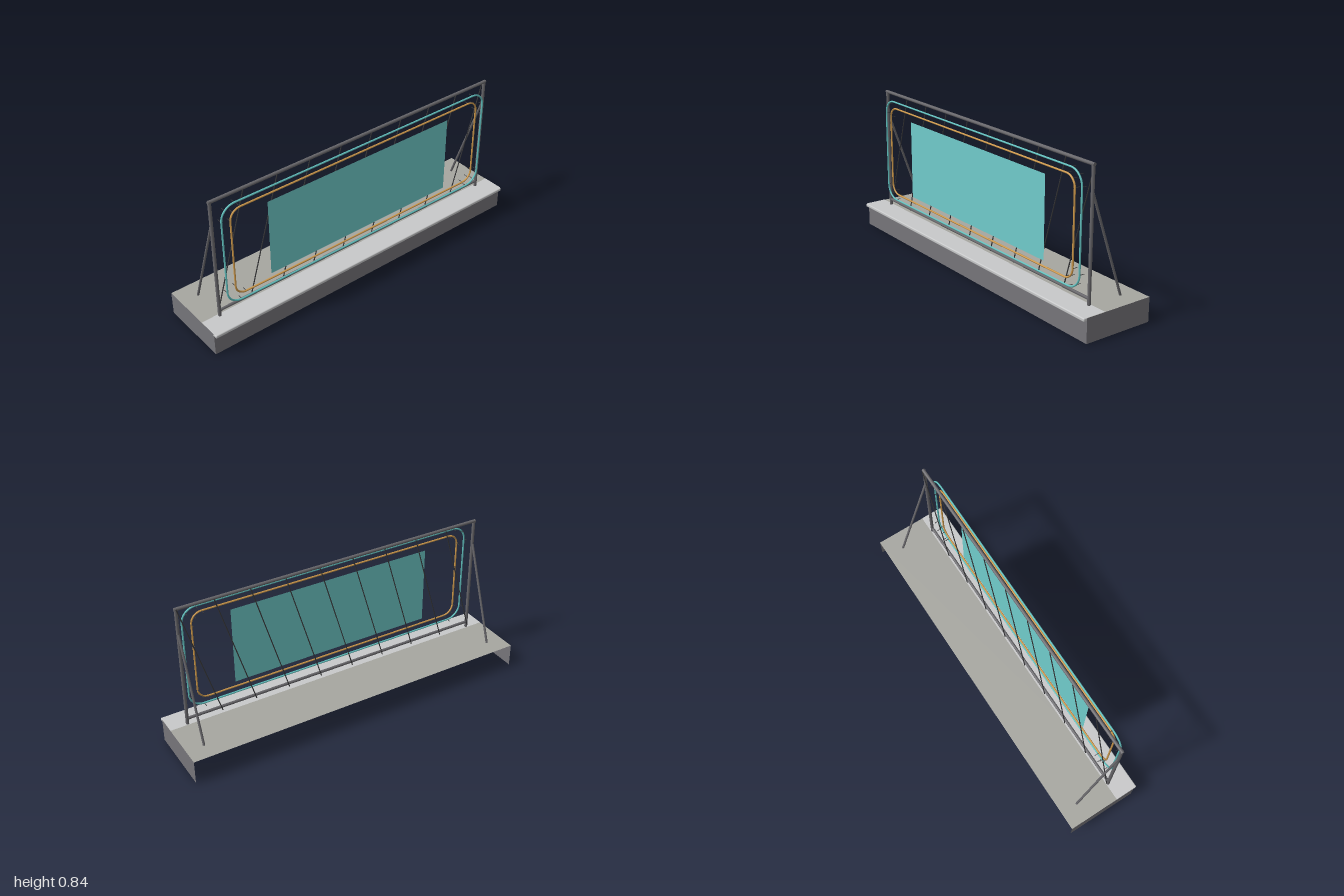
import * as THREE from 'three';
import { RoundedBoxGeometry } from 'three/addons/geometries/RoundedBoxGeometry.js';

const mat = (name, color, side = THREE.FrontSide) => {
  const m = new THREE.MeshStandardMaterial({ color, side });
  m.name = name;
  return m;
};

export function createModel() {
  const group = new THREE.Group();
  group.name = 'rooftopSign';

  const wall = mat('wall grey', 0x76757a, THREE.DoubleSide);
  const concrete = mat('roof grey', 0xa6a6a0, THREE.DoubleSide);
  const coping = mat('coping light grey', 0xc8c9ca, THREE.DoubleSide);
  const steel = mat('frame steel', 0x67666a);
  const rodSteel = mat('dark rod', 0x38383a);
  const teal = mat('teal tube', 0x62c2c0);
  const amber = mat('amber tube', 0xcf9a4c);
  const panelTeal = mat('panel teal', 0x70cccb, THREE.DoubleSide);

  const add = (name, geometry, material, x = 0, y = 0, z = 0) => {
    const mesh = new THREE.Mesh(geometry, material);
    mesh.name = name;
    mesh.position.set(x, y, z);
    group.add(mesh);
    return mesh;
  };

  // Round bar between two points
  const bar = (name, a, b, r, material, sides = 12) => {
    const p = new THREE.Vector3(...a), q = new THREE.Vector3(...b);
    const dir = q.clone().sub(p);
    const mesh = add(name, new THREE.CylinderGeometry(r, r, dir.length(), sides), material);
    mesh.position.copy(p).add(q).multiplyScalar(0.5);
    mesh.quaternion.setFromUnitVectors(new THREE.Vector3(0, 1, 0), dir.normalize());
  };

  // Parapet: open at the back and underneath
  const H = 0.133;
  add('frontWall', new THREE.PlaneGeometry(2, H), wall, 0, H / 2, 0.19);
  for (const s of [-1, 1]) {
    add('endWall', new THREE.PlaneGeometry(0.4, H), wall, s, H / 2, -0.01).rotation.y = s * Math.PI / 2;
  }
  add('roofSlab', new THREE.PlaneGeometry(2, 0.4), concrete, 0, H, -0.01).rotation.x = -Math.PI / 2;
  add('copingTop', new THREE.PlaneGeometry(2, 0.12), coping, 0, H + 0.002, 0.14).rotation.x = -Math.PI / 2;
  add('copingNose', new RoundedBoxGeometry(2, 0.019, 0.036, 3, 0.006), coping, 0, 0.1255, 0.192);

  // Main frame with rear braces
  const FZ = 0.091, R = 0.009;
  for (const s of [-1, 1]) {
    bar('post', [s * 0.9, H, FZ], [s * 0.9, 0.838, FZ], R, steel);
    bar('rearBrace', [s * 0.9, 0.69, 0.086], [s * 0.9, 0.128, -0.113], 0.0065, steel);
  }
  bar('topRail', [-0.909, 0.833, FZ], [0.909, 0.833, FZ], R, steel);
  bar('bottomRail', [-0.9, 0.168, FZ], [0.9, 0.168, FZ], 0.008, steel);

  // Slanted rods behind the frame
  for (let i = 0; i < 9; i++) {
    const x = -0.9 + i * 0.2;
    bar('slantedRod', [x, 0.152, 0.081], [x + 0.2, 0.833, 0.081], 0.003, rodSteel, 8);
  }

  // Rounded-rectangle light tubes, each held by pins at its corners
  const TZ = 0.124, CY = 0.501;
  const lightTube = (name, w, h, r, material) => {
    const path = new THREE.CurvePath();
    const corners = [[1, 1, 0], [-1, 1, 1], [-1, -1, 2], [1, -1, 3]];
    const arcs = corners.map(([sx, sy, k]) => {
      const pts = [];
      for (let i = 0; i <= 8; i++) {
        const a = (k + i / 8) * Math.PI / 2;
        pts.push(new THREE.Vector3(sx * (w - r) + r * Math.cos(a), CY + sy * (h - r) + r * Math.sin(a), TZ));
      }
      return pts;
    });
    const loop = arcs.flat();
    loop.forEach((p, i) => path.add(new THREE.LineCurve3(p, loop[(i + 1) % loop.length])));
    add(name, new THREE.TubeGeometry(path, 320, 0.005, 8, true), material);
    for (const arc of arcs) {
      for (const i of [0, 4, 8]) {
        const p = arc[i];
        bar(name + 'Pin', [p.x, p.y, TZ], [p.x, p.y, 0.095], 0.0018, rodSteel, 6);
      }
    }
  };
  lightTube('outerTube', 0.864, 0.298, 0.08, teal);
  lightTube('innerTube', 0.814, 0.261, 0.06, amber);

  // Blank display panel
  add('displayPanel', new THREE.PlaneGeometry(1.196, 0.446), panelTeal, 0, 0.493, TZ);

  return group;
}
